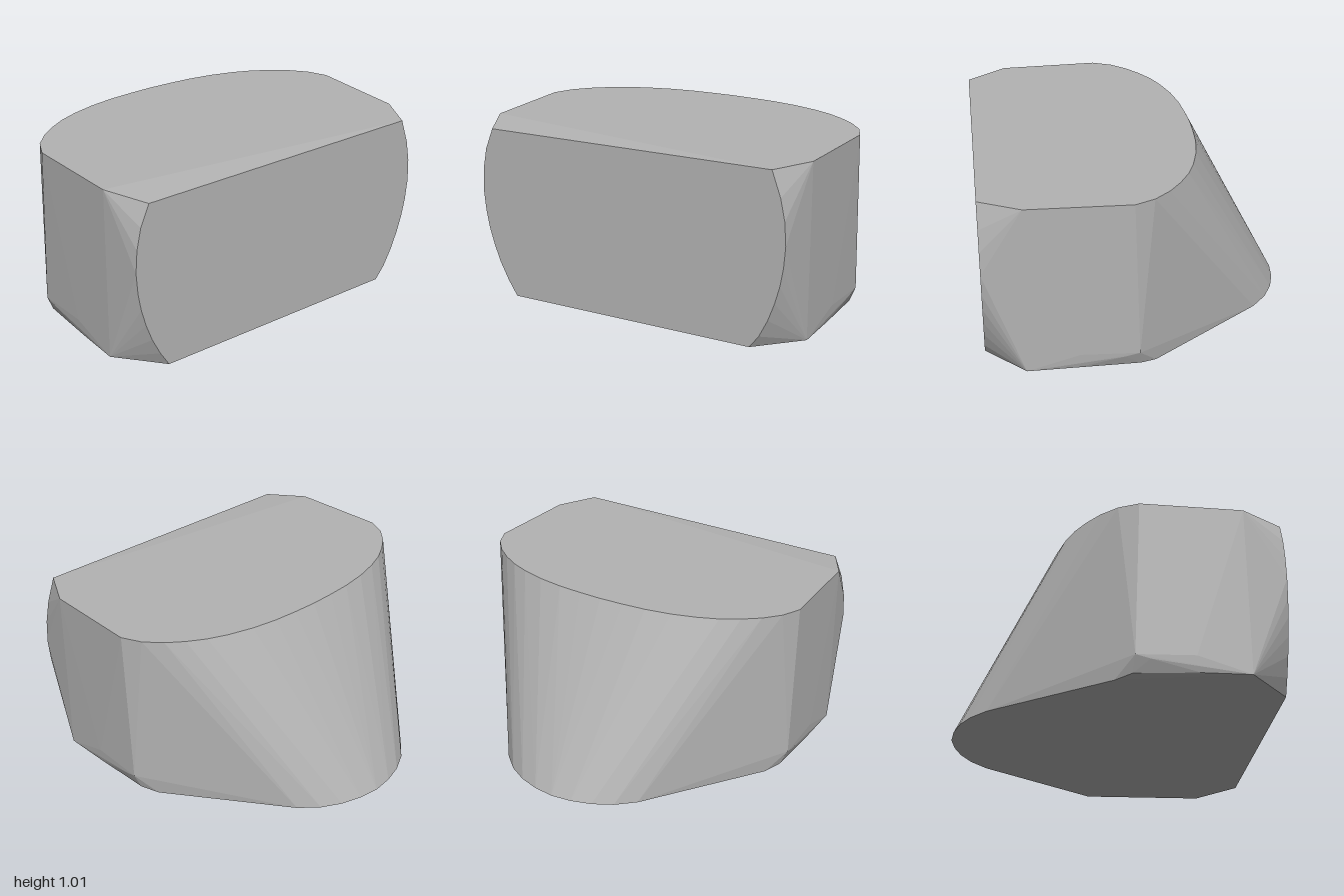
import * as THREE from 'three';
import { ConvexGeometry } from 'three/addons/geometries/ConvexGeometry.js';

export function createModel() {
  const group = new THREE.Group();
  group.name = 'slantedBlock';
  const grey = new THREE.MeshStandardMaterial({ color: 0xb3b3b3 });
  grey.name = 'stone grey';

  // [x, z] rim of the flat top
  const topRim = [
    [-0.365, 0], [-0.36, 0.14], [-0.35, 0.28], [-0.325, 0.43], [-0.285, 0.57],
    [-0.24, 0.68], [-0.18, 0.78], [-0.11, 0.87], [-0.02, 0.95], [0.09, 1], [0.66, 0.98],
  ];
  // [x, z] rounded nose of the base
  const baseNose = [
    [-0.89, 0], [-0.875, 0.12], [-0.84, 0.235], [-0.78, 0.345], [-0.69, 0.445], [-0.04, 0.91],
  ];
  // [x, y, z] bevelled lower side edge
  const sideEdge = [
    [0.05, 0.02, 0.96], [0.06, 0.11, 0.998], [0.14, 0.09, 0.994],
    [0.38, 0.12, 0.99], [0.4, 0.03, 0.975], [0.67, 0.03, 0.975],
  ];
  // [y, z] curved ends of the flat right-hand face
  const endArc = [
    [0.1, 0.8], [0.2, 0.85], [0.3, 0.887], [0.4, 0.915], [0.5, 0.933],
    [0.62, 0.943], [0.75, 0.935], [0.87, 0.91],
  ];

  const points = [];
  const add = (x, y, z) => points.push(new THREE.Vector3(x, y, z));
  for (const s of [1, -1]) {
    for (const [x, z] of topRim) if (z || s > 0) add(x, 1.01, s * z);
    for (const [x, z] of baseNose) if (z || s > 0) add(x, 0, s * z);
    for (const [x, y, z] of sideEdge) add(x, y, s * z);
    for (const [y, z] of endArc) add(0.888, y, s * z);
    // the end face leans very slightly from one corner to the other
    add(0.888, s > 0 ? 0.99 : 1.01, s * 0.86);
    add(0.888, s > 0 ? 0.012 : 0.028, s * 0.745);
  }

  const body = new THREE.Mesh(new ConvexGeometry(points), grey);
  body.name = 'body';
  group.add(body);
  return group;
}
